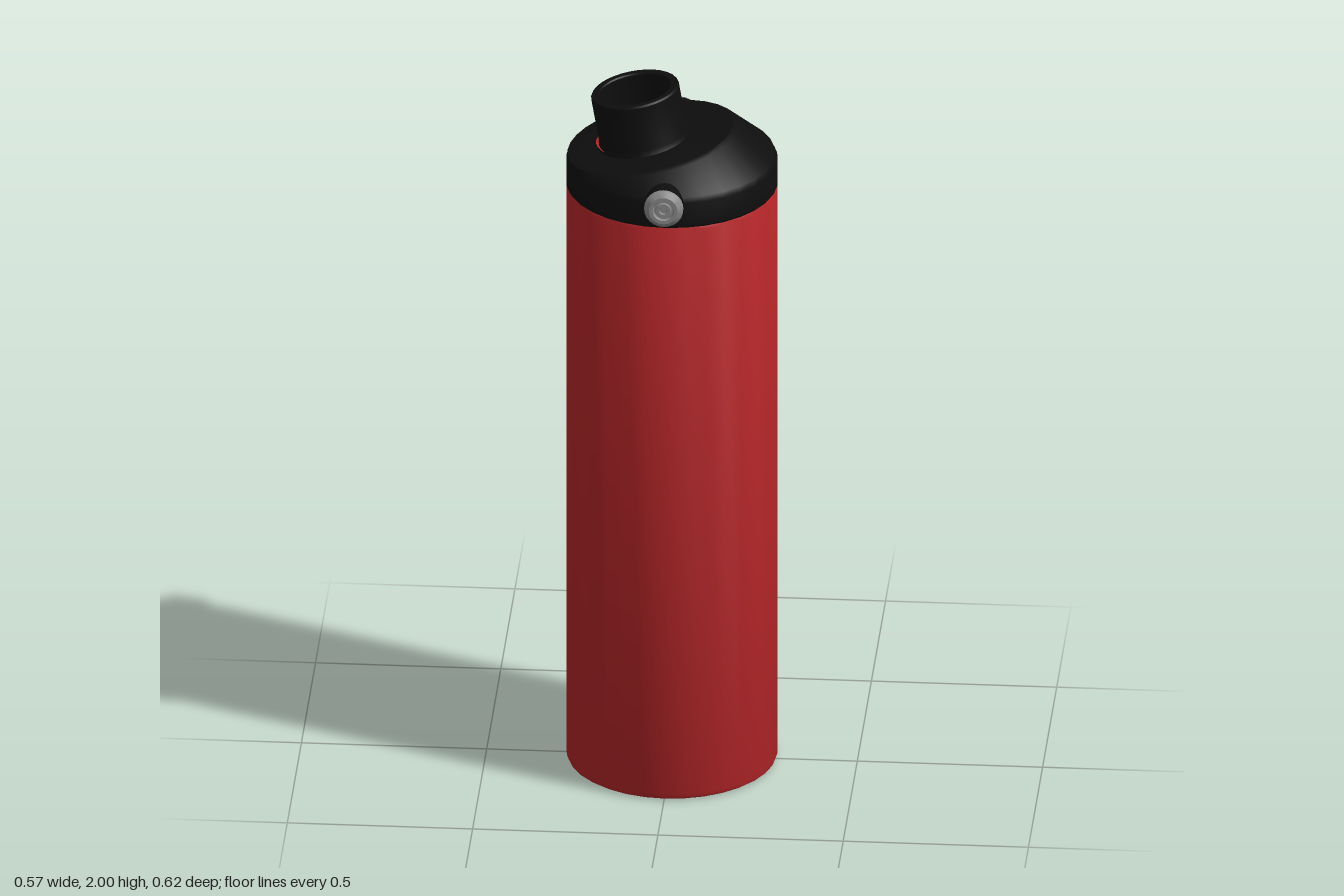
import * as THREE from 'three';
import { toCreasedNormals } from 'three/addons/utils/BufferGeometryUtils.js';

const SEG = 32;
const R = 0.285;

function material(name, color) {
  const m = new THREE.MeshStandardMaterial({ color });
  m.name = name;
  return m;
}

function lathe(points, seg = SEG) {
  return new THREE.LatheGeometry(points.map(([r, y]) => new THREE.Vector2(r, y)), seg);
}

function mesh(name, geometry, mat, crease = 0.5) {
  const m = new THREE.Mesh(toCreasedNormals(geometry, crease), mat);
  m.name = name;
  return m;
}

// Closed loft through circular rings; each ring may be shifted in x and sloped
function loft(rings) {
  const pos = [], idx = [];
  for (const { r, cx, y, slope } of rings) {
    for (let i = 0; i < SEG; i++) {
      const a = (i / SEG) * Math.PI * 2;
      const dx = r * Math.cos(a);
      pos.push(cx + dx, y + slope * dx, r * Math.sin(a));
    }
  }
  for (let k = 0; k < rings.length - 1; k++) {
    for (let i = 0; i < SEG; i++) {
      const j = (i + 1) % SEG;
      const a = k * SEG + i, b = k * SEG + j, c = a + SEG, d = b + SEG;
      idx.push(a, c, b, b, c, d);
    }
  }
  const g = new THREE.BufferGeometry();
  g.setAttribute('position', new THREE.Float32BufferAttribute(pos, 3));
  g.setIndex(idx);
  return g;
}

export function createModel() {
  const red = material('red', 0xb42528);
  const black = material('black', 0x0e0e0e);
  const grey = material('grey', 0x8c8c8c);
  const model = new THREE.Group();
  model.name = 'bottle';

  // Straight body with small rounded edges
  model.add(mesh('body', lathe([
    [0, 0], [0.272, 0], [0.281, 0.006], [R, 0.018], [R, 1.7], [0.281, 1.708], [0, 1.708],
  ]), red));

  // Lid: upright band, then a shoulder rising to a sloped top with the spout hole
  const slope = 0.195;
  model.add(mesh('lid', loft([
    { r: 0.28, cx: 0, y: 1.705, slope: 0 },
    { r: R, cx: 0, y: 1.712, slope: 0 },
    { r: R, cx: 0, y: 1.782, slope: 0 },
    { r: 0.279, cx: -0.001, y: 1.795, slope: 0.012 },
    { r: 0.23, cx: -0.052, y: 1.838, slope: 0.185 },
    { r: 0.217, cx: -0.052, y: 1.843, slope },
    { r: 0.11, cx: -0.078, y: 1.838, slope },
  ]), black));

  // Tilted open spout; the bore is sheared so that it runs straight down
  const tilt = 0.17;
  const top = 0.152;
  const spoutGeo = lathe([
    [0.134, -0.012], [0.125, 0.004], [0.12, 0.02], [0.12, top - 0.005], [0.117, top],
    [0.1, top], [0.097, top - 0.004], [0.097, -0.03],
  ]);
  const p = spoutGeo.attributes.position;
  for (let i = 0; i < p.count; i++) {
    const radius = Math.hypot(p.getX(i), p.getZ(i));
    if (radius < 0.099) p.setX(i, p.getX(i) - (top - p.getY(i)) * Math.tan(tilt));
  }
  const spout = mesh('spout', spoutGeo, black);
  spout.position.set(-0.075, 1.834, 0);
  spout.rotation.z = tilt;
  model.add(spout);

  // Inside of the bottle seen at the bottom of the bore
  const inner = new THREE.CircleGeometry(0.105, SEG).rotateX(-Math.PI / 2);
  const floor = mesh('spoutFloor', inner, red);
  floor.position.set(-0.1, 1.825, 0);
  model.add(floor);

  // Handle pivots on the front and back of the lid
  for (const side of [1, -1]) {
    const pivot = new THREE.Group();
    pivot.name = side > 0 ? 'frontPivot' : 'backPivot';
    pivot.position.set(0, 1.77, 0);
    pivot.rotation.x = side * Math.PI / 2;
    pivot.add(mesh('pivotBoss', lathe([[0.055, 0.24], [0.055, 0.289], [0, 0.289]], 24), black));
    pivot.add(mesh('pivotButton', lathe([
      [0.053, 0.289], [0.053, 0.297], [0.039, 0.31], [0.029, 0.31], [0.026, 0.303],
      [0.022, 0.303], [0.02, 0.309], [0.011, 0.309], [0.009, 0.304], [0, 0.304],
    ], 24), grey));
    model.add(pivot);
  }
  return model;
}
